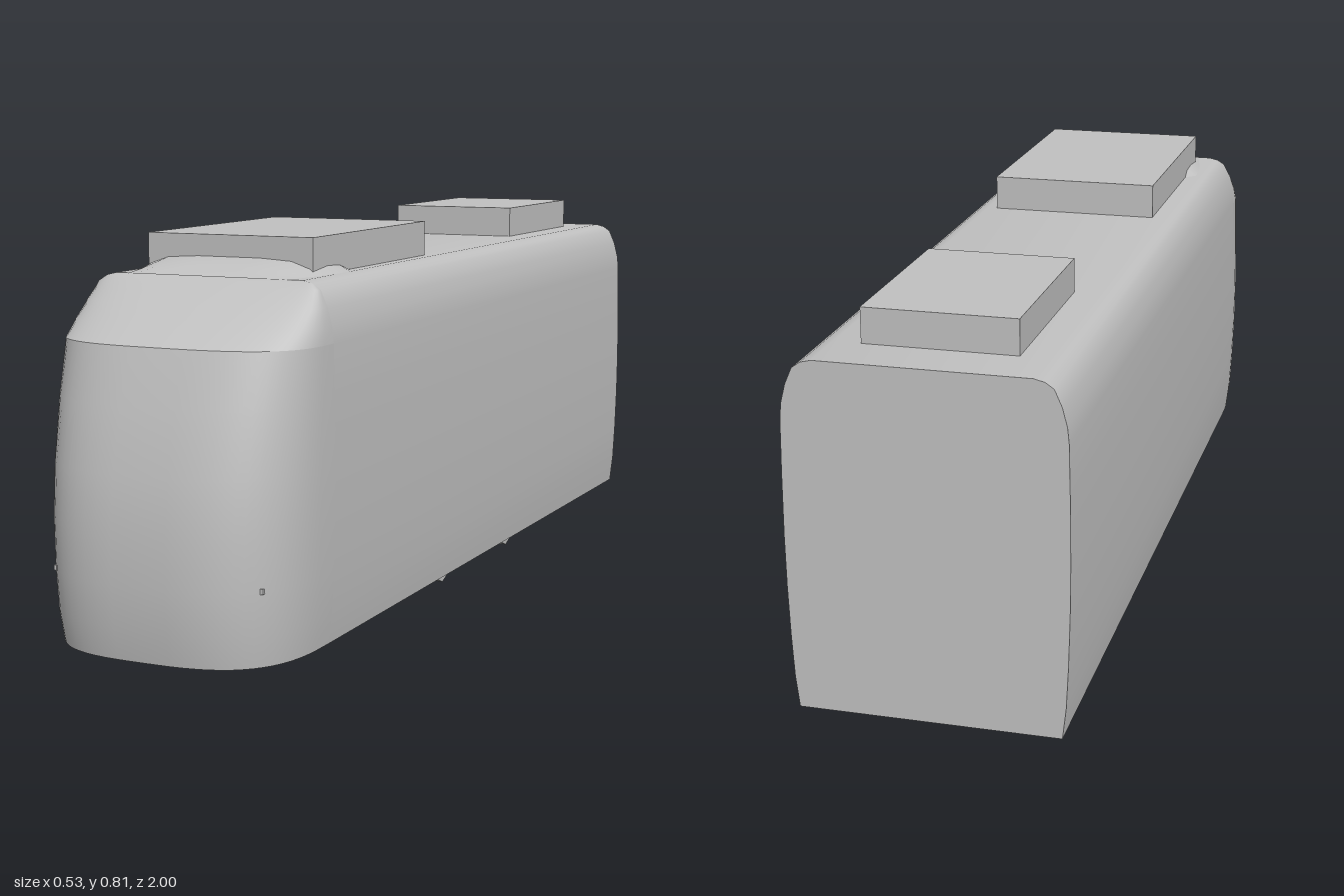
import * as THREE from 'three';
import { toCreasedNormals } from 'three/addons/utils/BufferGeometryUtils.js';

// Side profile: [half width, height, nose front z]
const PROFILE = [
  [0.25, 0.058, 0.985], [0.257, 0.12, 0.996], [0.261, 0.2, 1.0], [0.264, 0.3, 0.998],
  [0.265, 0.4, 0.985], [0.264, 0.52, 0.956], [0.262, 0.625, 0.92], [0.259, 0.655, 0.87],
  [0.25, 0.69, 0.81], [0.236, 0.722, 0.757], [0.22, 0.733, 0.738], [0.2, 0.738, 0.73],
];
const JOIN = 0.73, FLOOR = 0.058, ROOF = 0.738;

// Smooth surface through equal-length rows of [x, y, z] points
function loft(rows) {
  const n = rows[0].length, index = [];
  for (let r = 0; r < rows.length - 1; r++) {
    for (let i = 0; i < n - 1; i++) {
      const a = r * n + i, b = a + n;
      index.push(a, a + 1, b + 1, a, b + 1, b);
    }
  }
  const g = new THREE.BufferGeometry();
  g.setAttribute('position', new THREE.Float32BufferAttribute(rows.flat(2), 3));
  g.setIndex(index);
  g.computeVertexNormals();
  return g;
}

// One horizontal row around the rounded nose
function noseRow([w, y, front]) {
  const row = [];
  for (let i = 0; i <= 32; i++) {
    const a = (i / 32 - 0.5) * Math.PI, s = Math.sin(a), c = Math.max(0, Math.cos(a));
    row.push([Math.sign(s) * w * Math.abs(s) ** 0.667, y, JOIN + (front - JOIN) * c ** 0.667]);
  }
  return row;
}

export function createModel() {
  const model = new THREE.Group();
  const grey = new THREE.MeshStandardMaterial({ color: 0xc0c0c0 });
  grey.name = 'bodyGrey';
  const add = (name, geometry, x = 0, y = 0, z = 0) => {
    const mesh = new THREE.Mesh(geometry, grey);
    mesh.name = name;
    mesh.position.set(x, y, z);
    model.add(mesh);
    return mesh;
  };

  // Long body with rounded roof edges
  const right = PROFILE.map(([w, y]) => new THREE.Vector2(w, y));
  const left = PROFILE.map(([w, y]) => new THREE.Vector2(-w, y)).reverse();
  const body = new THREE.ExtrudeGeometry(new THREE.Shape([...right, ...left]),
    { depth: JOIN + 1, bevelEnabled: false });
  add('body', toCreasedNormals(body, 0.7), 0, 0, -1);

  // Nose: curved face, sloping upper face and floor
  const rows = PROFILE.map(noseRow);
  add('noseFace', loft(rows.slice(0, 7)));
  add('noseSlope', loft(rows.slice(6)));
  add('noseFloor', loft([rows[0].map(([x, y]) => [x, y, JOIN]), rows[0]]));

  // Low fairing on the roof: [z, half width, height]
  const fairing = [[0.735, 0.17, 0], [0.7, 0.177, 0.016], [0.64, 0.19, 0.031],
    [0.58, 0.199, 0.032], [0.53, 0.2, 0.026], [0.495, 0.185, 0]];
  const section = [[-1, 0], [-0.9, 0.45], [-0.7, 0.87], [-0.35, 1], [0.35, 1], [0.7, 0.87], [0.9, 0.45], [1, 0]];
  add('roofFairing', loft(fairing.map(([z, w, h]) => section.map(([x, y]) => [x * w, ROOF + y * h, z]))));

  // Roof equipment boxes
  add('frontRoofBox', new THREE.BoxGeometry(0.357, 0.072, 0.535), 0, 0.774, 0.377);
  add('rearRoofBox', new THREE.BoxGeometry(0.293, 0.07, 0.4), 0, 0.771, -0.69);

  // Wheels half hidden in the floor, and small nose markers
  const wheel = new THREE.CylinderGeometry(0.06, 0.06, 0.022, 8);
  wheel.rotateZ(Math.PI / 2);
  for (const side of [-1, 1]) {
    for (const z of [0, -0.4]) add('wheel', wheel, side * 0.168, 0.06, z);
    add('noseMarker', new THREE.BoxGeometry(0.006, 0.01, 0.008), side * 0.217, 0.202, 0.932);
  }
  return model;
}
